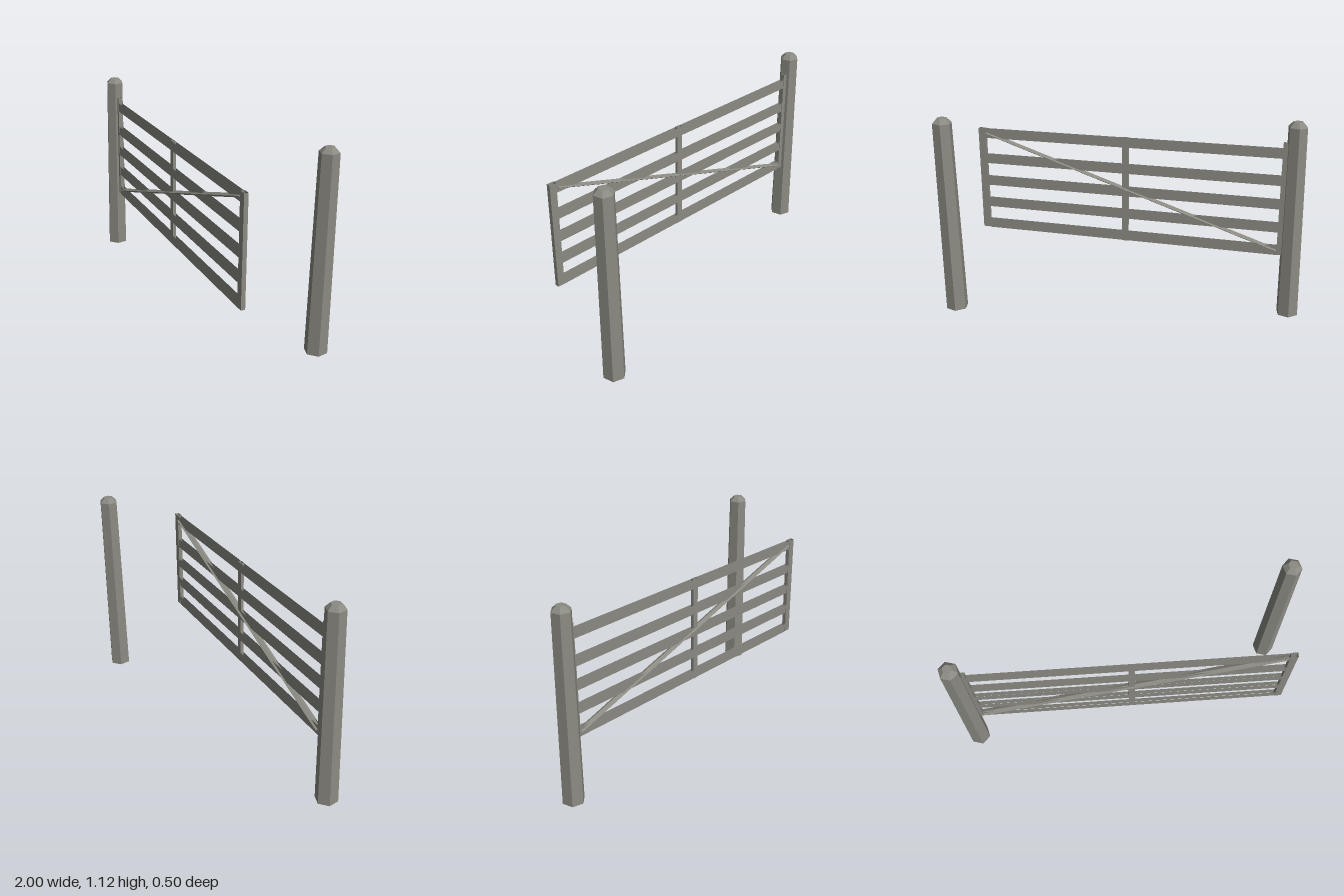
import * as THREE from 'three';

const wood = new THREE.MeshStandardMaterial({ color: 0x8b8a82, flatShading: true, side: THREE.DoubleSide });
wood.name = 'weatheredWood';

function add(parent, geometry, name) {
  const mesh = new THREE.Mesh(geometry, wood);
  mesh.name = name;
  parent.add(mesh);
  return mesh;
}

// Plank made of four upright walls, open along its top and bottom
function plank(w, h, d) {
  const g = new THREE.BoxGeometry(w, h, d);
  const index = Array.from(g.index.array);
  g.setIndex([...index.slice(0, 12), ...index.slice(24)]);
  g.clearGroups();
  return g;
}

// Tapering six-sided post with a bevelled top, leaning slightly to +x
function post(x) {
  const group = new THREE.Group();
  const shaftH = 1.095, capH = 0.027, lean = 0.0105;
  const shaft = new THREE.CylinderGeometry(0.054, 0.0625, shaftH, 6, 1, false);
  shaft.translate(0, shaftH / 2, 0);
  const cap = new THREE.CylinderGeometry(0.027, 0.054, capH, 6, 1, false);
  cap.translate(0, shaftH + capH / 2, 0);
  for (const g of [shaft, cap]) {
    const p = g.attributes.position;
    for (let i = 0; i < p.count; i++) p.setX(i, p.getX(i) + p.getY(i) * lean);
    g.computeVertexNormals();
  }
  add(group, shaft, 'postShaft');
  add(group, cap, 'postCap');
  group.position.set(x, 0, -0.19);
  return group;
}

export function createModel() {
  const model = new THREE.Group();
  model.name = 'fieldGate';

  const hingePost = post(-0.946);
  hingePost.name = 'hingePost';
  const latchPost = post(0.943);
  latchPost.name = 'latchPost';
  model.add(hingePost, latchPost);

  // Gate leaf, swung slightly open
  const gate = new THREE.Group();
  gate.name = 'gate';
  gate.rotation.y = -0.242;
  gate.position.z = 0.03;
  model.add(gate);

  const left = -0.892, right = 0.829;
  const length = right - left, mid = (left + right) / 2;

  // Five sagging rails
  const sag = 0.029;
  [0.931, 0.777, 0.641, 0.505, 0.37].forEach((y, i) => {
    const rail = add(gate, plank(length, 0.054, 0.02), `rail${i + 1}`);
    rail.position.set(mid, y, 0);
    rail.rotation.z = -Math.atan2(sag, length);
  });

  // Upright stiles: centre, bottom, top, width, thickness
  const stiles = [
    ['hingeStile', left - 0.0205, 0.36, 1.005, 0.041, 0.024],
    ['middleStile', -0.019, 0.34, 0.96, 0.035, 0.018],
    ['latchStile', right + 0.0205, 0.331, 0.946, 0.041, 0.024],
  ];
  for (const [name, x, y0, y1, w, d] of stiles) {
    add(gate, plank(w, y1 - y0, d), name).position.set(x, (y0 + y1) / 2, 0);
  }

  // Diagonal brace with a flattened diamond section
  const x0 = -0.889, y0 = 0.384, x1 = 0.822, y1 = 0.918;
  const braceGeometry = new THREE.CylinderGeometry(1, 1, Math.hypot(x1 - x0, y1 - y0), 4);
  braceGeometry.scale(0.011, 1, 0.02);
  const brace = add(gate, braceGeometry, 'diagonalBrace');
  brace.position.set((x0 + x1) / 2, (y0 + y1) / 2, 0);
  brace.rotation.z = Math.atan2(y1 - y0, x1 - x0) - Math.PI / 2;

  return model;
}
